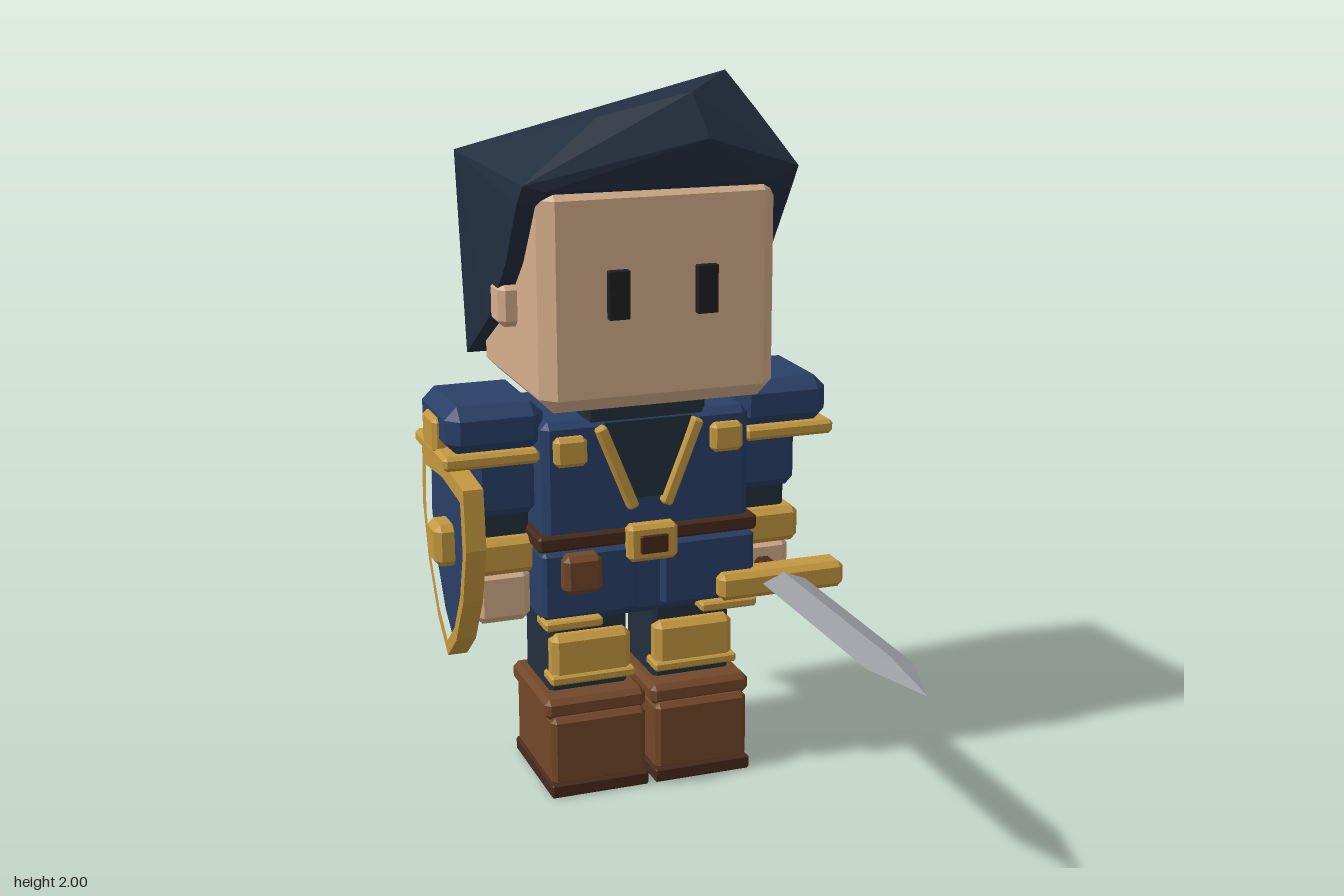
import * as THREE from 'three';
import { ConvexGeometry } from 'three/addons/geometries/ConvexGeometry.js';

const material = (name, color) => {
  const m = new THREE.MeshStandardMaterial({ color });
  m.name = name;
  return m;
};

export function createModel() {
  const skin = material('skin', 0xd6ae8c);
  const hairColor = material('hair', 0x222f40);
  const navy = material('navy cloth', 0x2a4068);
  const dark = material('dark cloth', 0x222f3d);
  const gold = material('gold', 0xc4983f);
  const leather = material('leather', 0x724728);
  const darkLeather = material('dark leather', 0x482a1c);
  const steel = material('steel', 0x989ca1);
  const black = material('eye black', 0x1c1f21);

  const model = new THREE.Group();
  model.name = 'swordsman';

  const add = (name, geometry, mat) => {
    const mesh = new THREE.Mesh(geometry, mat);
    mesh.name = name;
    model.add(mesh);
    return mesh;
  };

  // Chamfered block between two limits on each axis
  const block = (name, mat, [x0, x1], [y0, y1], [z0, z1], c = 0.012) => {
    const h = [(x1 - x0) / 2, (y1 - y0) / 2, (z1 - z0) / 2];
    const pts = [];
    for (const sx of [-1, 1]) for (const sy of [-1, 1]) for (const sz of [-1, 1])
      for (let axis = 0; axis < 3; axis++) {
        const p = [sx, sy, sz].map((s, i) => s * (h[i] - (i === axis ? 0 : c)));
        pts.push(new THREE.Vector3(...p));
      }
    const mesh = add(name, new ConvexGeometry(pts), mat);
    mesh.position.set((x0 + x1) / 2, (y0 + y1) / 2, (z0 + z1) / 2);
    return mesh;
  };

  // Same block on both sides of the body
  const pair = (name, mat, [x0, x1], y, z, c) => {
    block(name + 'Left', mat, [x0, x1], y, z, c);
    block(name + 'Right', mat, [-x1, -x0], y, z, c);
  };

  // Head
  block('head', skin, [-0.33, 0.33], [1.135, 1.74], [-0.67, -0.075], 0.04);
  pair('ear', skin, [0.31, 0.38], [1.33, 1.45], [-0.4, -0.3], 0.018);
  pair('eye', black, [0.094, 0.152], [1.385, 1.515], [-0.08, -0.055], 0.002);

  // Hair: a faceted cap with a swept peak
  const hairPoints = [
    [0.235, 2.0, -0.23], [0.1, 1.958, -0.12], [-0.15, 1.9, -0.15], [0.325, 1.89, -0.22],
    [0.125, 1.845, -0.058], [0, 1.826, -0.756],
    [-0.37, 1.742, -0.09], [0.384, 1.76, -0.075],
    [-0.31, 1.725, -0.085], [0.31, 1.725, -0.08],
    [0, 1.165, -0.735],
  ];
  for (const s of [-1, 1]) hairPoints.push(
    [s * 0.382, 1.755, -0.73], [s * 0.38, 1.69, -0.115], [s * 0.378, 1.517, -0.235],
    [s * 0.373, 1.33, -0.44], [s * 0.362, 1.17, -0.725]);
  add('hair', new ConvexGeometry(hairPoints.map((p) => new THREE.Vector3(...p))), hairColor);

  // Torso
  block('collar', dark, [-0.175, 0.175], [1.05, 1.125], [-0.53, -0.2], 0.015);
  block('chest', navy, [-0.3, 0.3], [0.74, 1.085], [-0.56, -0.19], 0.02);
  block('hips', navy, [-0.31, 0.31], [0.51, 0.75], [-0.565, -0.19], 0.02);
  block('belt', darkLeather, [-0.32, 0.32], [0.725, 0.77], [-0.572, -0.175], 0.008);
  pair('skirtPanel', navy, [0.035, 0.312], [0.53, 0.725], [-0.3, -0.17], 0.012);
  pair('skirtHem', gold, [0.145, 0.312], [0.505, 0.532], [-0.24, -0.15], 0.006);
  block('buckle', gold, [-0.072, 0.072], [0.68, 0.785], [-0.19, -0.14], 0.012);
  block('buckleCentre', darkLeather, [-0.04, 0.04], [0.705, 0.757], [-0.16, -0.132], 0.003);
  block('pouch', leather, [-0.26, -0.15], [0.61, 0.72], [-0.2, -0.13], 0.015);
  pair('chestStud', gold, [0.18, 0.272], [0.965, 1.047], [-0.2, -0.16], 0.012);

  // Open neckline with gold trim
  const neckline = new THREE.Shape([[-0.125, 1.075], [-0.045, 0.855], [0.045, 0.855], [0.125, 1.075]]
    .map(([x, y]) => new THREE.Vector2(x, y)));
  add('neckline', new THREE.ExtrudeGeometry(neckline, { depth: 0.009, bevelEnabled: false }), dark)
    .position.z = -0.19;
  for (const s of [-1, 1]) {
    const trim = block('neckTrim', gold, [-0.016, 0.016], [-0.127, 0.127], [-0.018, 0.018], 0.006);
    trim.position.set(s * 0.094, 0.948, -0.18);
    trim.rotation.z = -s * 0.38;
  }

  // Arms
  pair('shoulderPad', navy, [0.28, 0.553], [1.005, 1.14], [-0.53, -0.215], 0.035);
  pair('shoulderRim', gold, [0.3, 0.567], [0.972, 1.012], [-0.54, -0.21], 0.01);
  pair('shoulderTab', gold, [0.53, 0.57], [0.995, 1.095], [-0.435, -0.31], 0.012);
  pair('upperArm', navy, [0.295, 0.473], [0.815, 1.0], [-0.505, -0.26], 0.022);
  pair('elbow', dark, [0.31, 0.455], [0.73, 0.83], [-0.475, -0.295], 0.015);
  pair('bracer', gold, [0.3, 0.487], [0.645, 0.75], [-0.485, -0.26], 0.018);
  pair('hand', skin, [0.31, 0.47], [0.495, 0.65], [-0.465, -0.285], 0.022);

  // Legs and boots
  pair('leg', dark, [0.04, 0.27], [0.26, 0.56], [-0.495, -0.26], 0.012);
  pair('kneeGuard', gold, [0.037, 0.27], [0.32, 0.457], [-0.29, -0.225], 0.018);
  pair('kneeFlange', gold, [0.03, 0.278], [0.315, 0.342], [-0.297, -0.215], 0.006);
  pair('bootCuff', leather, [0.008, 0.305], [0.225, 0.285], [-0.527, -0.185], 0.015);
  pair('boot', leather, [0.015, 0.293], [0.03, 0.235], [-0.52, -0.168], 0.014);
  pair('sole', darkLeather, [0.01, 0.298], [0, 0.04], [-0.527, -0.16], 0.005);

  // Sword: diamond blade pointing forward
  block('swordGuard', gold, [0.195, 0.575], [0.535, 0.612], [-0.22, -0.13], 0.015);
  block('swordGrip', darkLeather, [0.36, 0.41], [0.55, 0.6], [-0.42, -0.2], 0.01);
  const blade = [new THREE.Vector3(0.386, 0.577, 0.755)];
  for (const z of [-0.16, 0.54])
    for (const [dx, dy] of [[0.065, 0], [-0.065, 0], [0, 0.026], [0, -0.026]])
      blade.push(new THREE.Vector3(0.386 + dx, 0.577 + dy, z));
  add('swordBlade', new ConvexGeometry(blade), steel);

  // Shield: outline drawn in (z, y), extruded outwards along -x
  const outline = [[0, 0.285], [0.225, 0.265], [0.24, 0.1], [0.19, -0.06], [0.1, -0.2], [0, -0.28]];
  const ring = (k) => [...outline, ...outline.slice(1, -1).reverse().map(([u, v]) => [-u, v])]
    .map(([u, v]) => new THREE.Vector2(u * k, v * k));
  const shield = new THREE.Group();
  shield.name = 'shield';
  const plate = (name, shape, depth, offset, mat) => {
    const mesh = new THREE.Mesh(new THREE.ExtrudeGeometry(shape, { depth, bevelEnabled: false }), mat);
    mesh.name = name;
    mesh.position.z = offset;
    shield.add(mesh);
  };
  const rim = new THREE.Shape(ring(1));
  rim.holes.push(new THREE.Path(ring(0.84)));
  plate('shieldBack', new THREE.Shape(ring(0.98)), 0.03, 0, gold);
  plate('shieldRim', rim, 0.055, 0, gold);
  plate('shieldFace', new THREE.Shape(ring(0.84)), 0.008, 0.03, navy);
  shield.rotation.y = -Math.PI / 2;
  shield.position.set(-0.488, 0.685, -0.333);
  model.add(shield);
  block('shieldBoss', gold, [-0.58, -0.51], [0.68, 0.8], [-0.39, -0.28], 0.018);

  return model;
}
